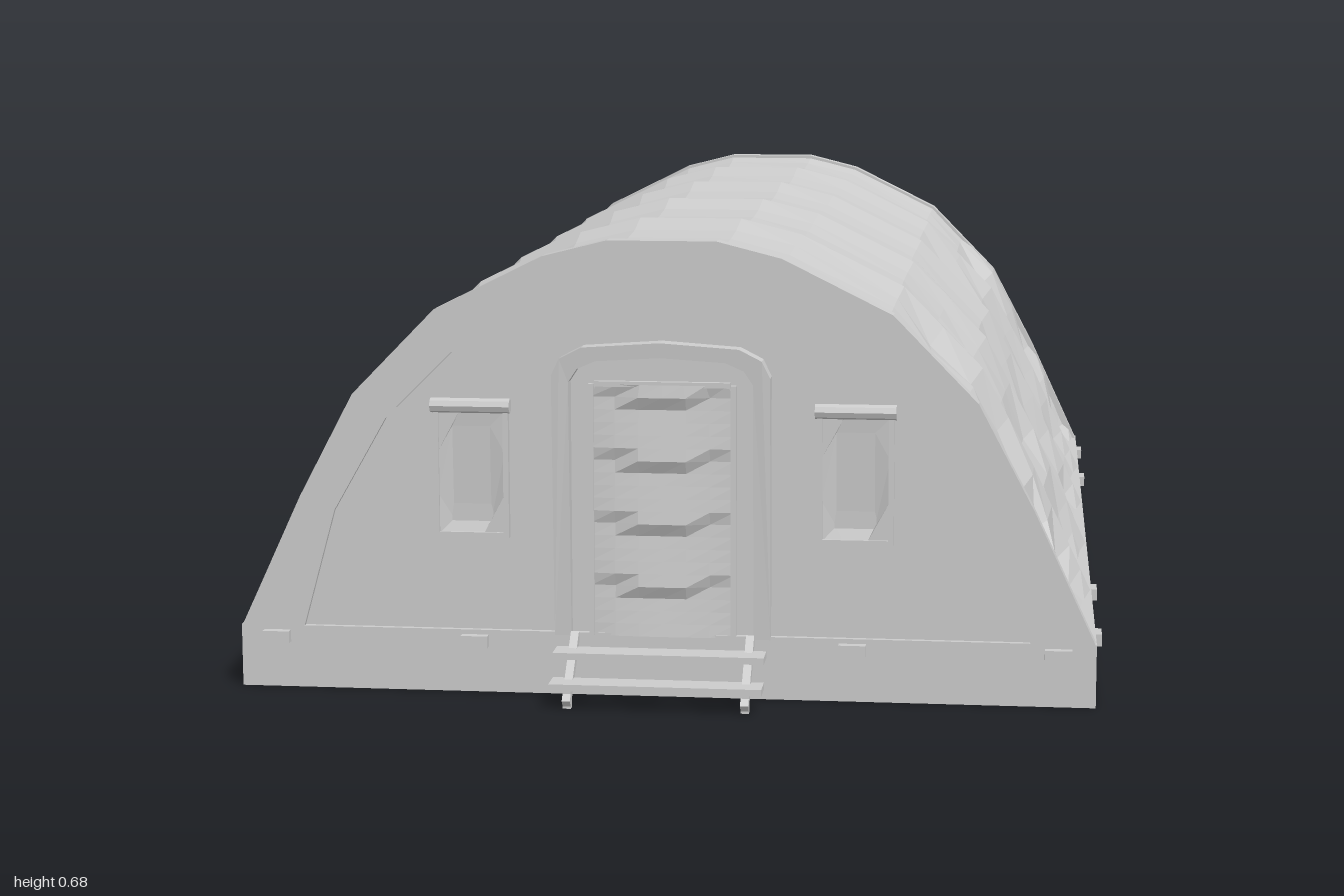
import * as THREE from 'three';

const material = new THREE.MeshStandardMaterial({ color: 0xcccccc, flatShading: true, side: THREE.DoubleSide });
const END = 0.905, FLOOR = 0.09;

function add(parent, name, geometry, x = 0, y = 0, z = 0) {
  const mesh = new THREE.Mesh(geometry, material);
  mesh.name = name;
  mesh.position.set(x, y, z);
  parent.add(mesh);
  return mesh;
}
const box = (parent, name, w, h, d, x, y, z) => add(parent, name, new THREE.BoxGeometry(w, h, d), x, y, z);

// Full arch outline from the +x foot over the top to the -x foot
function arch(half) {
  const right = half.map(([x, y]) => new THREE.Vector2(x, y));
  const left = half.filter(([x]) => x > 0).reverse().map(([x, y]) => new THREE.Vector2(-x, y));
  return [...right, ...left];
}
const outer = arch([[0.635, FLOOR], [0.6, 0.165], [0.542, 0.29], [0.46, 0.445], [0.336, 0.572], [0.175, 0.652], [0.08, 0.676]]);
const inner = arch([[0.54, FLOOR], [0.49, 0.27], [0.41, 0.41], [0.3, 0.52], [0.157, 0.6], [0, 0.625]]);

function extrude(points, depth, holes = []) {
  const shape = new THREE.Shape(points);
  shape.holes = holes.map(h => new THREE.Path(h));
  return new THREE.ExtrudeGeometry(shape, { depth, bevelEnabled: false });
}

function seeded(seed) {
  return () => ((seed = (seed * 16807) % 2147483647) / 2147483647);
}

// Canvas hung over six ribs: it sags and wrinkles in every bay
function canvasRoof() {
  const random = seeded(77);
  const outline = [];
  outer.forEach((p, i) => {
    outline.push(p);
    const next = outer[i + 1];
    if (next && Math.min(p.y, next.y) < 0.5) outline.push(p.clone().lerp(next, 0.5));
  });
  const steps = [[0, 0], [0.2, 0.012], [0.4, 0.018], [0.6, 0.018], [0.8, 0.012]];
  const stations = [];
  for (let bay = 0; bay < 5; bay++) {
    for (const [t, sag] of steps) stations.push({ z: -END + (bay + t) * 2 * END / 5, sag, end: bay % 4 === 0 });
  }
  stations.push({ z: END, sag: 0, end: true });

  const n = outline.length, position = [], index = [];
  stations.forEach(({ z, sag, end }, j) => {
    outline.forEach((p, i) => {
      const a = outline[Math.max(i - 1, 0)], b = outline[Math.min(i + 1, n - 1)];
      const normal = new THREE.Vector2(b.y - a.y, a.x - b.x).normalize();
      const side = p.y > 0.12 && p.y < 0.55 ? 1 : 0.1;
      const wrinkle = sag ? (random() - 0.55) * (end ? 0.024 : 0.015) * side : 0;
      const d = wrinkle - sag;
      const foot = i === 0 || i === n - 1;
      const slide = sag && !foot ? (random() - 0.5) * 0.05 * side : 0;
      position.push(p.x + normal.x * d, foot ? p.y : p.y + normal.y * d, z + slide);
      if (i < n - 1 && j < stations.length - 1) {
        const k = j * n + i;
        index.push(k, k + 1, k + n, k + 1, k + n + 1, k + n);
      }
    });
  });
  const geometry = new THREE.BufferGeometry();
  geometry.setAttribute('position', new THREE.Float32BufferAttribute(position, 3));
  geometry.setIndex(index);
  geometry.computeVertexNormals();
  return geometry;
}

// Door surround that leans outward to a small hood at its top
function doorFrame() {
  const out = arch([[0.16, FLOOR], [0.16, 0.48], [0.148, 0.505], [0.115, 0.522], [0, 0.53]]);
  const hole = arch([[0.135, FLOOR], [0.135, 0.47], [0.122, 0.49], [0.095, 0.502], [0, 0.508]]);
  const geometry = extrude([...out, ...hole.reverse()], 0.02);
  const p = geometry.attributes.position;
  for (let i = 0; i < p.count; i++) {
    if (p.getZ(i) > 0.01) p.setZ(i, 0.022 + 0.018 * Math.max(0, (p.getY(i) - 0.25) / 0.27));
  }
  geometry.computeVertexNormals();
  return geometry;
}

// Hanging door sheet with sagging horizontal folds
function doorSheet() {
  const geometry = new THREE.PlaneGeometry(0.21, 0.375, 6, 20);
  const p = geometry.attributes.position;
  for (let i = 0; i < p.count; i++) {
    const x = p.getX(i), y = p.getY(i), u = Math.abs(x) / 0.105;
    const phase = (y + 0.19 + 0.025 * (1 - u * u)) / 0.094;
    const fold = phase - Math.floor(phase);
    p.setZ(i, 0.012 * (1 - fold) * (1 - 0.7 * u * u));
    if (y > 0.18) p.setX(i, x * 0.92);
  }
  geometry.computeVertexNormals();
  return geometry;
}

// Window pane: inner grid corners pressed back to form a shallow tray
function windowPane() {
  const geometry = new THREE.PlaneGeometry(0.1, 0.185, 3, 3);
  const p = geometry.attributes.position;
  for (let i = 0; i < p.count; i++) {
    const x = p.getX(i), y = p.getY(i);
    if (Math.abs(x) < 0.04 && Math.abs(y) < 0.08) {
      p.setXYZ(i, Math.sign(x) * 0.028, y > 0 ? 0.07 : -0.07, y > 0 ? -0.002 : -0.008);
    }
  }
  geometry.computeVertexNormals();
  return geometry;
}

function windowUnit(x) {
  const group = new THREE.Group();
  group.name = 'window';
  group.position.set(x, 0.33, 0.9);
  add(group, 'windowPane', windowPane(), 0, 0, 0.004);
  for (const s of [-1, 1]) box(group, 'windowSide', 0.008, 0.19, 0.016, s * 0.052, 0, 0);
  box(group, 'windowSill', 0.112, 0.008, 0.016, 0, -0.092, 0);
  const roll = new THREE.CylinderGeometry(0.011, 0.011, 0.118, 8);
  add(group, 'rolledBlind', roll, 0, 0.101, 0.006).rotation.z = Math.PI / 2;
  return group;
}

function entrySteps() {
  const group = new THREE.Group();
  group.name = 'entrySteps';
  box(group, 'upperTread', 0.31, 0.01, 0.042, 0, 0.071, 0.94);
  box(group, 'lowerTread', 0.31, 0.01, 0.042, 0, 0.034, 0.979);
  for (const s of [-1, 1]) {
    const rail = box(group, 'stepRail', 0.012, 0.014, 0.122, s * 0.13, 0.05, 0.948);
    rail.rotation.x = 0.75;
    box(group, 'stepFoot', 0.012, 0.03, 0.012, s * 0.13, 0.015, 0.982);
  }
  return group;
}

// One gable end facing +z
function gable() {
  const group = new THREE.Group();
  group.name = 'gableEnd';
  add(group, 'endWall', extrude(inner, 0.012), 0, 0, 0.885);
  add(group, 'endArch', extrude([...outer, ...inner.slice().reverse()], 0.03), 0, 0, END - 0.03);
  add(group, 'doorFrame', doorFrame(), 0, 0, 0.886);
  add(group, 'doorSheet', doorSheet(), 0, 0.278, 0.899);
  for (const s of [-1, 1]) {
    box(group, 'doorPost', 0.008, 0.375, 0.012, s * 0.105, 0.278, 0.9);
    group.add(windowUnit(s * 0.283));
    for (const x of [0.28, 0.58]) box(group, 'frontClip', 0.04, 0.018, 0.026, s * x, 0.078, END);
  }
  box(group, 'doorHeader', 0.2, 0.008, 0.012, 0, 0.466, 0.9);
  group.add(entrySteps());
  return group;
}

export function createModel() {
  const model = new THREE.Group();
  model.name = 'archedTent';
  box(model, 'basePlatform', 1.27, FLOOR + 0.004, 2 * END, 0, (FLOOR + 0.004) / 2, 0);
  add(model, 'canvasRoof', canvasRoof());
  const front = gable();
  const back = front.clone();
  back.rotation.y = Math.PI;
  model.add(front, back);

  // Tie-down clips along both long sides
  for (const s of [-1, 1]) {
    for (const z of [-0.79, -0.49, 0.49, 0.79]) box(model, 'sideClip', 0.02, 0.018, 0.04, s * 0.635, 0.078, z);
  }
  return model;
}
